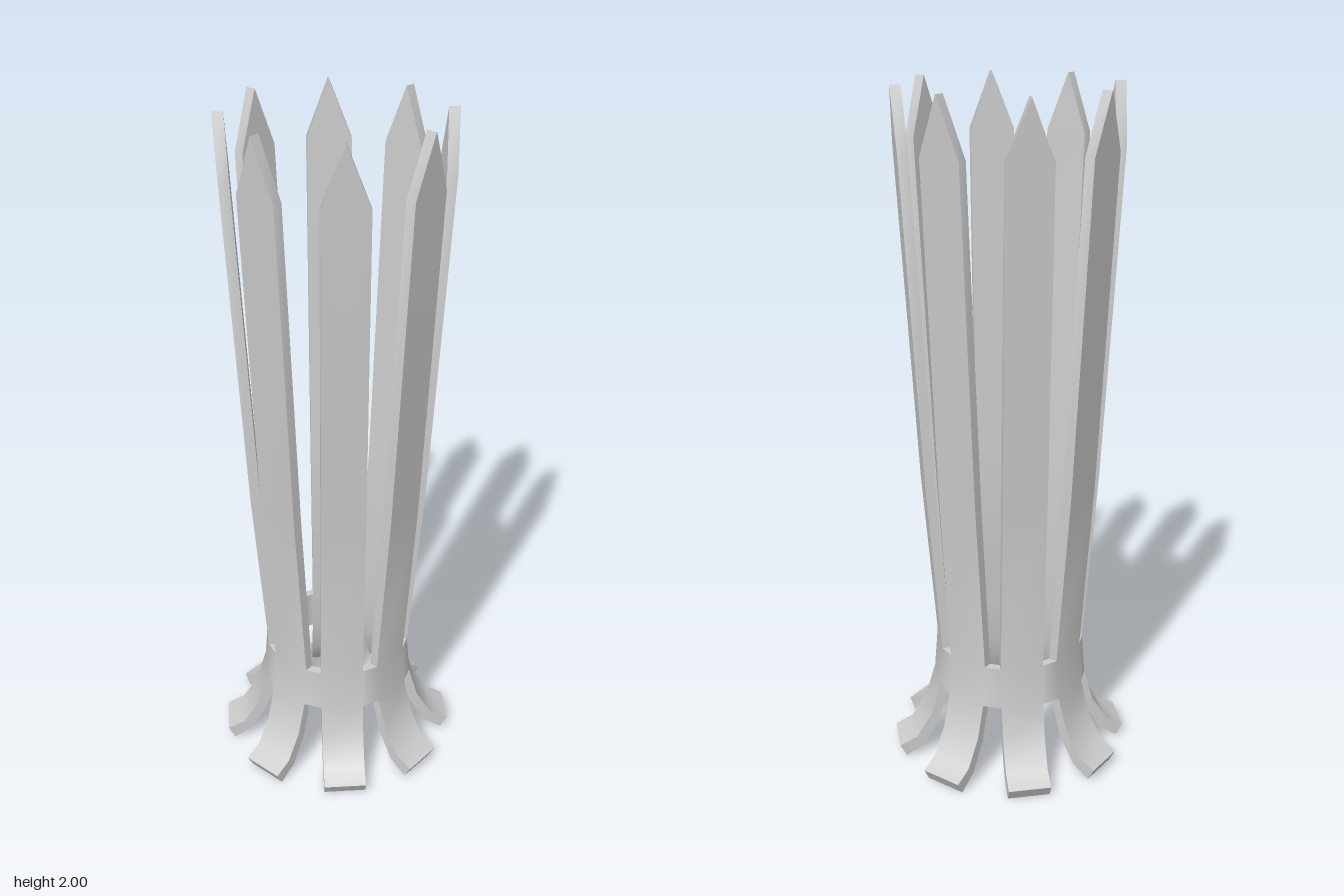
import * as THREE from 'three';
import { toCreasedNormals } from 'three/addons/utils/BufferGeometryUtils.js';

const COUNT = 8;
const HALF = 0.0625;

// Slat cross-sections from foot to tip: [outer radius, outer y, inner radius, inner y, half width]
const ROWS = [
  [0.35, 0.037, 0.33, 0.0, HALF],
  [0.298, 0.063, 0.275, 0.036, HALF],
  [0.251, 0.14, 0.226, 0.123, HALF],
  [0.223, 0.24, 0.197, 0.236, HALF],
  [0.213, 0.365, 0.187, 0.365, HALF],
  [0.253, 0.88, 0.224, 0.88, HALF],
  [0.306, 1.84, 0.277, 1.84, HALF],
  [0.315, 2.0, 0.285, 2.0, 0.0004],
];
const BAND = 3; // the band lies between rows 3 and 4

// Four corners of a slat row: outer left, outer right, inner right, inner left
function corners(slat, row) {
  const a = (slat % COUNT) * Math.PI * 2 / COUNT;
  const [ro, yo, ri, yi, w] = ROWS[row];
  const at = (x, y, r) => [x * Math.cos(a) + r * Math.sin(a), y, r * Math.cos(a) - x * Math.sin(a)];
  return [at(-w, yo, ro), at(w, yo, ro), at(w, yi, ri), at(-w, yi, ri)];
}

// Four corners of the link from one slat to the next
function linkCorners(slat, row) {
  const p = corners(slat, row), q = corners(slat + 1, row);
  return [p[1], q[0], q[3], p[2]];
}

export function createModel() {
  const group = new THREE.Group();
  group.name = 'slattedHolder';
  const material = new THREE.MeshStandardMaterial({ color: 0xcccccc });

  const pos = [];
  const quad = (a, b, c, d) => pos.push(...a, ...b, ...c, ...a, ...c, ...d);
  const walls = (lo, hi, sides) => sides.forEach((k) => {
    const n = (k + 1) % 4;
    quad(lo[k], lo[n], hi[n], hi[k]);
  });
  const slatWalls = (from, to, sides) => {
    for (let s = 0; s < COUNT; s++)
      for (let r = from; r < to; r++) walls(corners(s, r), corners(s, r + 1), sides);
  };
  const parts = [];
  const endPart = (name) => parts.push([name, pos.length]);

  // Curved feet with their end faces
  slatWalls(0, BAND, [0, 1, 2, 3]);
  for (let s = 0; s < COUNT; s++) {
    const c = corners(s, 0);
    quad(c[0], c[3], c[2], c[1]);
  }
  endPart('feet');

  // Band: slat faces plus the short links between them
  slatWalls(BAND, BAND + 1, [0, 2]);
  for (let s = 0; s < COUNT; s++) {
    const lo = linkCorners(s, BAND), hi = linkCorners(s, BAND + 1);
    walls(lo, hi, [0, 2]);
    quad(hi[0], hi[1], hi[2], hi[3]);
    quad(lo[0], lo[3], lo[2], lo[1]);
  }
  endPart('band');

  // Tall pointed slats
  slatWalls(BAND + 1, ROWS.length - 1, [0, 1, 2, 3]);
  endPart('pointedSlats');

  // Normals are smoothed across the whole body, then it is split into its parts
  const whole = new THREE.BufferGeometry();
  whole.setAttribute('position', new THREE.Float32BufferAttribute(pos, 3));
  const smooth = toCreasedNormals(whole, 0.65);
  let start = 0;
  for (const [name, end] of parts) {
    const geometry = new THREE.BufferGeometry();
    for (const key of ['position', 'normal'])
      geometry.setAttribute(key, new THREE.BufferAttribute(smooth.attributes[key].array.slice(start, end), 3));
    const mesh = new THREE.Mesh(geometry, material);
    mesh.name = name;
    group.add(mesh);
    start = end;
  }
  return group;
}
